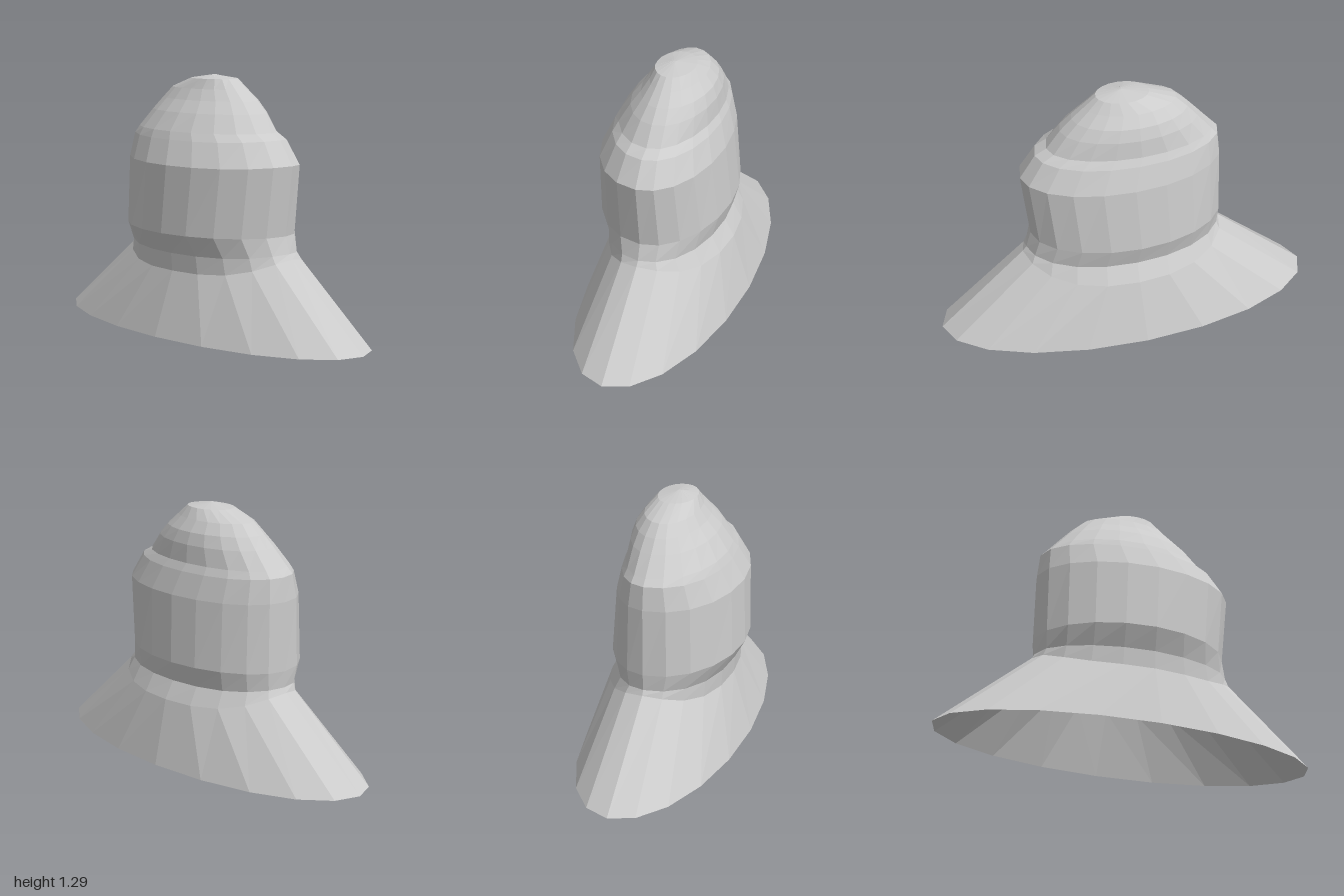
import * as THREE from 'three';

const SIDES = 20;

// Cross-sections: [y at front/back, y at sides, right x, left x, back z, front z]
const FLARE = [
  [0, 0.005, -1, 1, -0.41, 0.41],
  [0.325, 0.41, -0.515, 0.55, -0.32, 0.305],
  [0.415, 0.435, -0.5, 0.53, -0.27, 0.31],
];
const BAND = [
  FLARE[2],
  [0.52, 0.52, -0.505, 0.505, -0.297, 0.365],
  [0.86, 0.87, -0.5, 0.545, -0.267, 0.35],
];
const CROWN = [
  BAND[2],
  [0.98, 0.99, -0.485, 0.465, -0.23, 0.295],
  [1.02, 1.02, -0.455, 0.405, -0.21, 0.275],
  [1.11, 1.11, -0.375, 0.335, -0.2, 0.215],
  [1.17, 1.17, -0.32, 0.275, -0.18, 0.165],
  [1.225, 1.225, -0.26, 0.21, -0.14, 0.128],
  [1.275, 1.275, -0.12, 0.15, -0.098, 0.1],
  [1.295, 1.295, 0.02, 0.02, 0.015, 0.015],
];

// Skin a stack of lopsided ovals
function loft(rings) {
  const pos = [], index = [];
  rings.forEach(([yMid, ySide, x0, x1, z0, z1], i) => {
    for (let j = 0; j < SIDES; j++) {
      const a = (j / SIDES) * Math.PI * 2, c = Math.cos(a), s = Math.sin(a);
      const cx = (x0 + x1) / 2, cz = (z0 + z1) / 2;
      pos.push(
        cx + (c * (x1 - x0)) / 2,
        yMid + (ySide - yMid) * c ** 4,
        cz * Math.abs(s) + (s * (z1 - z0)) / 2,
      );
      if (i === rings.length - 1) continue;
      const k = (j + 1) % SIDES, p = i * SIDES, q = p + SIDES;
      index.push(p + j, q + j, p + k, p + k, q + j, q + k);
    }
  });
  const g = new THREE.BufferGeometry();
  g.setAttribute('position', new THREE.Float32BufferAttribute(pos, 3));
  g.setIndex(index);
  g.computeVertexNormals();
  return g;
}

export function createModel() {
  const group = new THREE.Group();
  group.name = 'hoodedHat';
  const material = new THREE.MeshStandardMaterial({
    color: 0xcccccc, flatShading: true, side: THREE.DoubleSide,
  });
  // Open wide brim, upright band and domed crown
  for (const [name, rings] of [['brim', FLARE], ['band', BAND], ['crown', CROWN]]) {
    const mesh = new THREE.Mesh(loft(rings), material);
    mesh.name = name;
    group.add(mesh);
  }
  return group;
}
